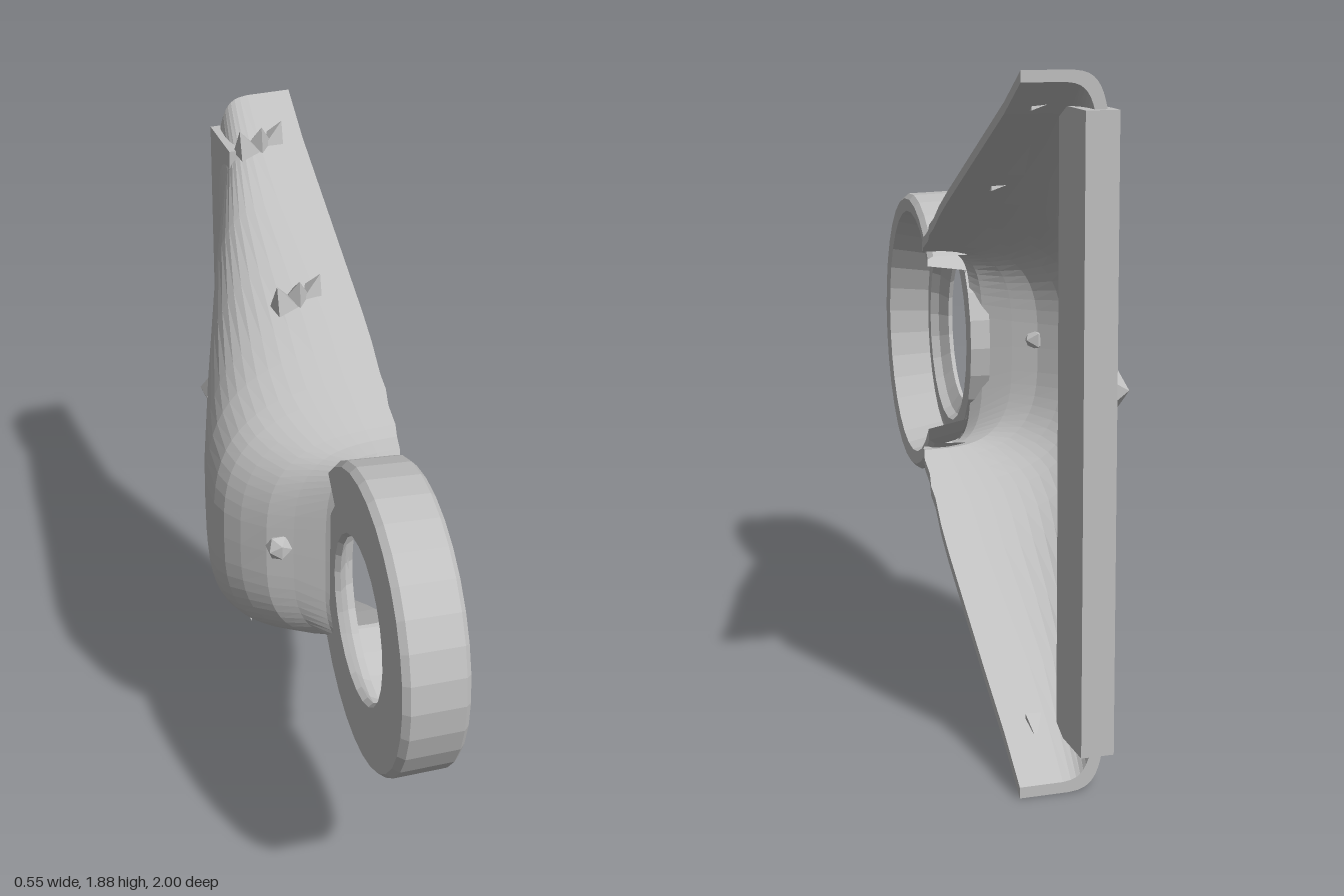
import * as THREE from 'three';

const grey = new THREE.MeshStandardMaterial({ color: 0xc0c0c0, flatShading: true, side: THREE.DoubleSide });
grey.name = 'plain grey';

function add(parent, name, geometry, x = 0, y = 0, z = 0) {
  const mesh = new THREE.Mesh(geometry, grey);
  mesh.name = name;
  mesh.position.set(x, y, z);
  parent.add(mesh);
  return mesh;
}

// Stations along the tray: z, floor x, rim x, lower edge y, upper edge y, squareness
const stations = [
  [0.28, 0.01, 0.19, 0.61, 1.28, 5], [0.25, -0.02, 0.2, 0.61, 1.285, 4],
  [0.2, -0.1, 0.21, 0.62, 1.295, 3.4], [0.16, -0.17, 0.22, 0.6, 1.31, 3.2],
  [0.1, -0.23, 0.22, 0.57, 1.34, 3], [0.05, -0.265, 0.23, 0.545, 1.365, 3],
  [0, -0.28, 0.23, 0.52, 1.39, 3], [-0.1, -0.275, 0.24, 0.465, 1.44, 3.1],
  [-0.2, -0.25, 0.245, 0.41, 1.49, 3.2], [-0.4, -0.18, 0.25, 0.3, 1.59, 3.8],
  [-0.6, -0.1, 0.255, 0.19, 1.69, 5], [-0.8, -0.01, 0.26, 0.085, 1.79, 7],
  [-0.97, 0.03, 0.27, 0.0, 1.88, 8],
];

// Rounded-square half loop, open towards +x
function halfLoop(floor, rim, low, high, p, n) {
  const pts = [];
  const c = (low + high) / 2, h = (high - low) / 2;
  for (let i = 0; i <= n; i++) {
    const a = (i / n) * Math.PI;
    const k = Math.cos(a), s = Math.max(0, Math.sin(a));
    pts.push([rim - (rim - floor) * s ** (2 / p), c - h * Math.sign(k) * Math.abs(k) ** (2 / p)]);
  }
  return pts;
}

// Hollow tray with thick walls, lofted through the stations
function trayGeometry() {
  const n = 32, t = 0.03, pos = [], idx = [];
  for (const [z, floor, rim, low, high, p] of stations) {
    const outer = halfLoop(floor, rim, low, high, p, n);
    const inner = halfLoop(floor + t, rim, low + t, high - t, p, n).reverse();
    for (const [x, y] of [...outer, ...inner]) pos.push(x, y, z);
  }
  const m = 2 * (n + 1);
  for (let j = 0; j < stations.length - 1; j++) {
    for (let i = 0; i < m; i++) {
      const a = j * m + i, b = j * m + (i + 1) % m;
      idx.push(a, b, a + m, b, b + m, a + m);
    }
  }
  // End caps between the outer and inner loops
  for (const [base, flip] of [[0, true], [(stations.length - 1) * m, false]]) {
    for (let i = 0; i < n; i++) {
      const a = base + i, b = a + 1, d = base + m - 1 - i, c = d - 1;
      if (flip) idx.push(a, c, b, a, d, c);
      else idx.push(a, b, c, a, c, d);
    }
  }
  const g = new THREE.BufferGeometry();
  g.setAttribute('position', new THREE.Float32BufferAttribute(pos, 3));
  g.setIndex(idx);
  g.computeVertexNormals();
  return g;
}

// Ring profile turned about the x axis
function turned(parent, name, profile, segments, start, length) {
  const pts = profile.map(([r, x]) => new THREE.Vector2(r, x));
  const mesh = add(parent, name, new THREE.LatheGeometry(pts, segments, start, length));
  mesh.rotation.z = -Math.PI / 2;
}

export function createModel() {
  const model = new THREE.Group();
  model.name = 'bracket';

  add(model, 'tray', trayGeometry());

  // Bar closing the wide end of the tray
  add(model, 'backBar', new THREE.BoxGeometry(0.09, 1.68, 0.205), 0.065, 0.94, -0.89);

  // Ring, slightly tilted, its raised lip open where it meets the tray
  const ring = new THREE.Group();
  ring.name = 'ring';
  ring.position.set(0.055, 0.95, 0.56);
  ring.rotation.y = -0.07;
  model.add(ring);
  const gap = Math.PI * 0.23;
  turned(ring, 'ringLip', [[0.32, -0.085], [0.43, -0.085], [0.445, -0.065], [0.44, 0.09],
    [0.425, 0.105], [0.385, 0.1], [0.355, -0.025], [0.32, -0.03], [0.32, -0.085]],
  24, Math.PI + gap, 2 * (Math.PI - gap));
  turned(ring, 'ringSeat', [[0.245, -0.085], [0.335, -0.085], [0.335, -0.025], [0.29, -0.02],
    [0.275, -0.045], [0.235, -0.07], [0.245, -0.085]], 24, 0, Math.PI * 2);

  // Knob through the floor and a small one under the front slope
  const knob = add(model, 'floorKnob', new THREE.IcosahedronGeometry(0.07, 0), -0.045, 1.01, -0.69);
  knob.scale.set(1.1, 1, 1);
  add(model, 'frontKnob', new THREE.IcosahedronGeometry(0.04, 0), -0.14, 0.98, 0.185);

  // Clusters of small rough studs on the side walls
  const clusters = [
    ['upperFrontStuds', 0.07, 1.535, -0.27, 1],
    ['upperBackStuds', 0.12, 1.8, -0.79, 1],
    ['lowerBackStuds', 0.11, 0.11, -0.74, -1],
  ];
  for (const [name, x, y, z, up] of clusters) {
    const studs = new THREE.Group();
    studs.name = name;
    model.add(studs);
    for (let i = -1; i <= 1; i++) {
      const stud = add(studs, 'stud', new THREE.ConeGeometry(0.045, 0.08, 4),
        x + i * 0.06, y + 0.015 * up, z - i * 0.02);
      stud.rotation.set(up > 0 ? 0.4 : Math.PI - 0.4, i * 0.6, i * -0.4);
    }
  }
  return model;
}
